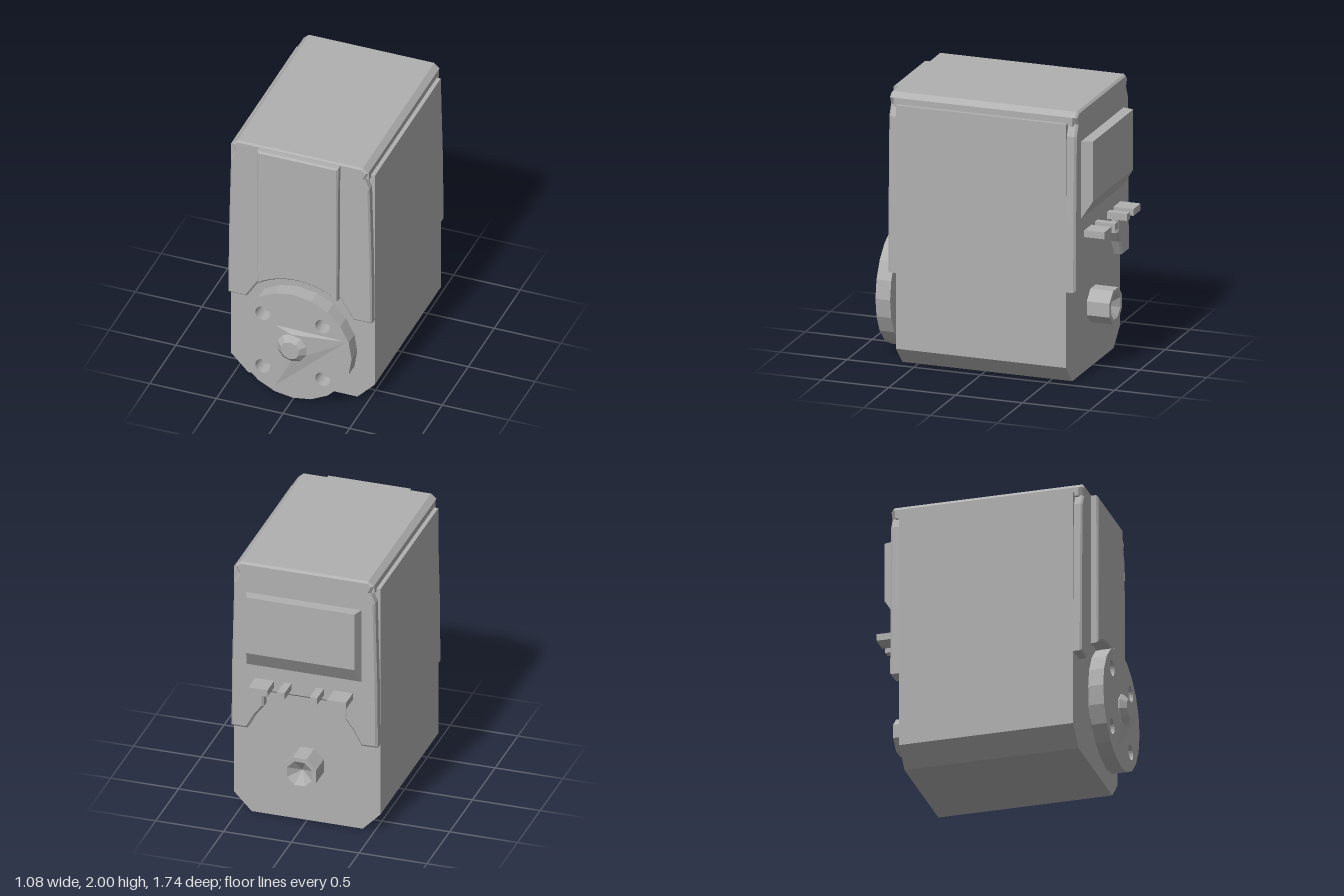
import * as THREE from 'three';
import { ConvexGeometry } from 'three/addons/geometries/ConvexGeometry.js';

const grey = new THREE.MeshStandardMaterial({ color: 0xb0b0b0 });
grey.name = 'casing grey';
const greySheet = new THREE.MeshStandardMaterial({ color: 0xb0b0b0, side: THREE.DoubleSide });
greySheet.name = 'casing grey';

export function createModel() {
  const model = new THREE.Group();
  model.name = 'servoMotor';

  // Adds a faceted part
  const add = (name, geometry, material = grey) => {
    const g = geometry.index ? geometry.toNonIndexed() : geometry;
    g.computeVertexNormals();
    const mesh = new THREE.Mesh(g, material);
    mesh.name = name;
    model.add(mesh);
    return mesh;
  };
  const vec2 = (list) => list.map(([x, y]) => new THREE.Vector2(x, y));
  // Closed outline from its right half, listed bottom to top
  const mirrored = (half) => new THREE.Shape(vec2([
    ...half, ...half.filter(([x]) => x > 0).reverse().map(([x, y]) => [-x, y])]));
  const slab = (shape, z0, z1, bevel = 0) => new THREE.ExtrudeGeometry(shape, {
    depth: z1 - z0 - 2 * bevel, bevelEnabled: bevel > 0, bevelThickness: bevel,
    bevelSize: bevel, bevelOffset: -bevel, bevelSegments: 1, curveSegments: 10,
  }).translate(0, 0, z0 + bevel);
  const hull = (points) => new ConvexGeometry(points.map((p) => new THREE.Vector3(...p)));
  // Cylinder lying along z
  const rod = (r0, r1, z0, z1, sides) => new THREE.CylinderGeometry(r1, r0, z1 - z0, sides)
    .rotateX(Math.PI / 2).translate(0, 0.45, (z0 + z1) / 2);

  // Main case with chamfered bottom edges, and its lid
  add('caseBody', slab(mirrored([[0.41, 0], [0.54, 0.135], [0.54, 1.92]]), -0.65, 0.62));
  add('lid', slab(mirrored([[0.51, 1.9], [0.51, 1.965], [0.47, 2]]), -0.69, 0.65));

  // Arch above the output disc, from the middle to the right
  const arch = [];
  for (let i = 0; i <= 6; i++) {
    const a = i * 0.107;
    arch.push([0.5 * Math.sin(a), 0.45 + 0.5 * Math.cos(a)]);
  }
  const side = [[0.54, 0.69], [0.535, 1.2], [0.52, 1.83], [0.485, 1.91], [0.51, 1.965], [0.47, 2]];

  // Front plate with screw recesses and slots in its upper corners
  const front = mirrored([...arch, [0.4, 0.69], ...side]);
  for (const s of [-1, 1]) {
    front.holes.push(new THREE.Path(vec2([[0.33, 1.95], [0.47, 1.9], [0.44, 1.76]].map(([x, y]) => [s * x, y]))));
    front.holes.push(new THREE.Path(vec2([[0.44, 1.71], [0.505, 1.71], [0.505, 1.745], [0.44, 1.745]].map(([x, y]) => [s * x, y]))));
    const facet = new THREE.BufferGeometry().setFromPoints([
      new THREE.Vector3(s * 0.33, 1.95, 0.675), new THREE.Vector3(s * 0.47, 1.9, 0.63),
      new THREE.Vector3(s * 0.44, 1.76, 0.675)]);
    if (s > 0) facet.setIndex([0, 2, 1]);
    else facet.setIndex([0, 1, 2]);
    add('screwRecess', facet, greySheet);
  }
  add('frontPlate', slab(front, 0.6, 0.68, 0.012));
  add('frontRaisedPanel', slab(mirrored([...arch, [0.305, 1.985]]), 0.65, 0.73, 0.012));

  // Rear plate with a leg down each side
  add('rearPlate', slab(mirrored([[0.3, 1.0], [0.3, 0.88], [0.36, 0.8], [0.42, 0.69], ...side]), -0.72, -0.63, 0.015));

  // Rear cover panel with a sloping lower edge
  const cover = [];
  for (const s of [-1, 1]) {
    cover.push([s * 0.43, 1.77, -0.7], [s * 0.43, 1.17, -0.7],
      [s * 0.4, 1.77, -0.8], [s * 0.4, 1.33, -0.8]);
  }
  add('rearCover', hull(cover));

  // Connector teeth
  for (const s of [-1, 1]) {
    for (const [x, w] of [[0.29, 0.14], [0.12, 0.055]]) {
      add('connectorTooth', new THREE.BoxGeometry(w, 0.05, 0.19).translate(s * x, 1.075, -0.775));
    }
  }

  // Rear shaft with a hollow end
  const shaft = new THREE.LatheGeometry(
    vec2([[0.133, 0.64], [0.133, 0.82], [0.1, 0.82], [0, 0.75]]), 8, Math.PI / 8);
  add('rearShaft', shaft.rotateX(-Math.PI / 2).translate(0, 0.45, 0), greySheet);

  // Output shaft, hub and disc with four holes
  add('outputShaft', rod(0.1, 0.1, 0.6, 0.65, 12));
  add('outputHub', rod(0.2, 0.2, 0.63, 0.71, 20));
  const disc = new THREE.Shape();
  disc.absarc(0, 0.45, 0.44, 0, Math.PI * 2);
  for (const sx of [-1, 1]) {
    for (const sy of [-1, 1]) {
      const hole = new THREE.Path();
      hole.absarc(sx * 0.225, 0.45 + sy * 0.225, 0.057, 0, Math.PI * 2, true);
      disc.holes.push(hole);
    }
  }
  add('outputDisc', slab(disc, 0.7, 0.81));

  // Shallow wedge and faceted screw head at the disc centre
  add('discWedge', hull([[-0.14, 0.6, 0.809], [-0.14, 0.07, 0.809], [0.41, 0.59, 0.809], [0, 0.565, 0.835], [0, 0.34, 0.83]]));
  add('screwBase', rod(0.1, 0.115, 0.8, 0.83, 10));
  add('screwHead', rod(0.115, 0.07, 0.83, 0.87, 10));

  return model;
}
